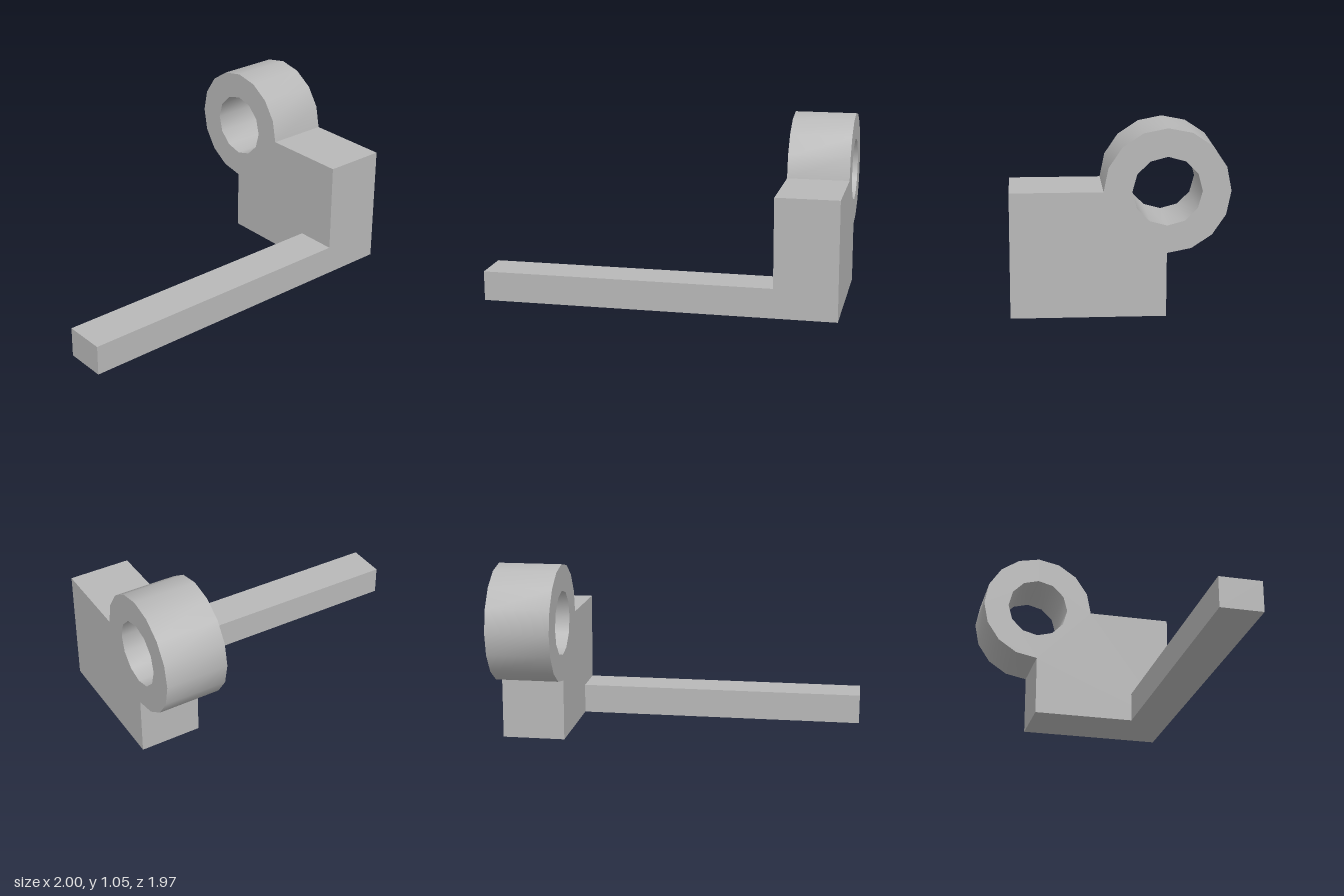
import * as THREE from 'three';
import { toCreasedNormals } from 'three/addons/utils/BufferGeometryUtils.js';

const WIDTH = 0.37;       // bracket thickness
const DEPTH = 0.853;      // bracket depth, also the eye centre
const EYE_Y = 0.705;      // block top and eye centre height
const OUTER = 0.345, INNER = 0.19;
const ARM_END = 2.094, ARM_DEPTH = 0.243, ARM_HEIGHT = 0.176;

// Points on a circle around the eye centre
function arc(radius, start, end, steps) {
  return Array.from({ length: steps + 1 }, (_, i) => {
    const a = start + (end - start) * i / steps;
    return new THREE.Vector2(DEPTH + radius * Math.cos(a), EYE_Y + radius * Math.sin(a));
  });
}

export function createModel() {
  const grey = new THREE.MeshStandardMaterial({ color: 0xb8b8b8 });
  grey.name = 'grey';

  // Block and eye share one side profile
  const profile = new THREE.Shape([
    new THREE.Vector2(0, 0),
    new THREE.Vector2(DEPTH, 0),
    ...arc(OUTER, -Math.PI / 2, Math.PI, 12),
    new THREE.Vector2(0, EYE_Y),
  ]);
  profile.holes.push(new THREE.Path(arc(INNER, 0, -Math.PI * 2, 12).slice(0, 12)));
  const solid = new THREE.ExtrudeGeometry(profile, { depth: WIDTH, bevelEnabled: false });
  solid.rotateY(Math.PI / 2);
  solid.translate(-WIDTH, 0, 0);
  const bracket = new THREE.Mesh(toCreasedNormals(solid, 0.6), grey);
  bracket.name = 'eyeBracket';

  // Long flat arm, flush with the bracket front
  const length = ARM_END - WIDTH;
  const arm = new THREE.Mesh(new THREE.BoxGeometry(length, ARM_HEIGHT, ARM_DEPTH), grey);
  arm.name = 'arm';
  arm.position.set(-WIDTH - length / 2, ARM_HEIGHT / 2, -ARM_DEPTH / 2);

  // Whole part is turned about the vertical axis
  const part = new THREE.Group();
  part.name = 'lever';
  part.add(bracket, arm);
  part.rotation.y = 0.438;
  part.position.set(1, 0, 0.1);

  const model = new THREE.Group();
  model.name = 'eyeLever';
  model.add(part);
  return model;
}
